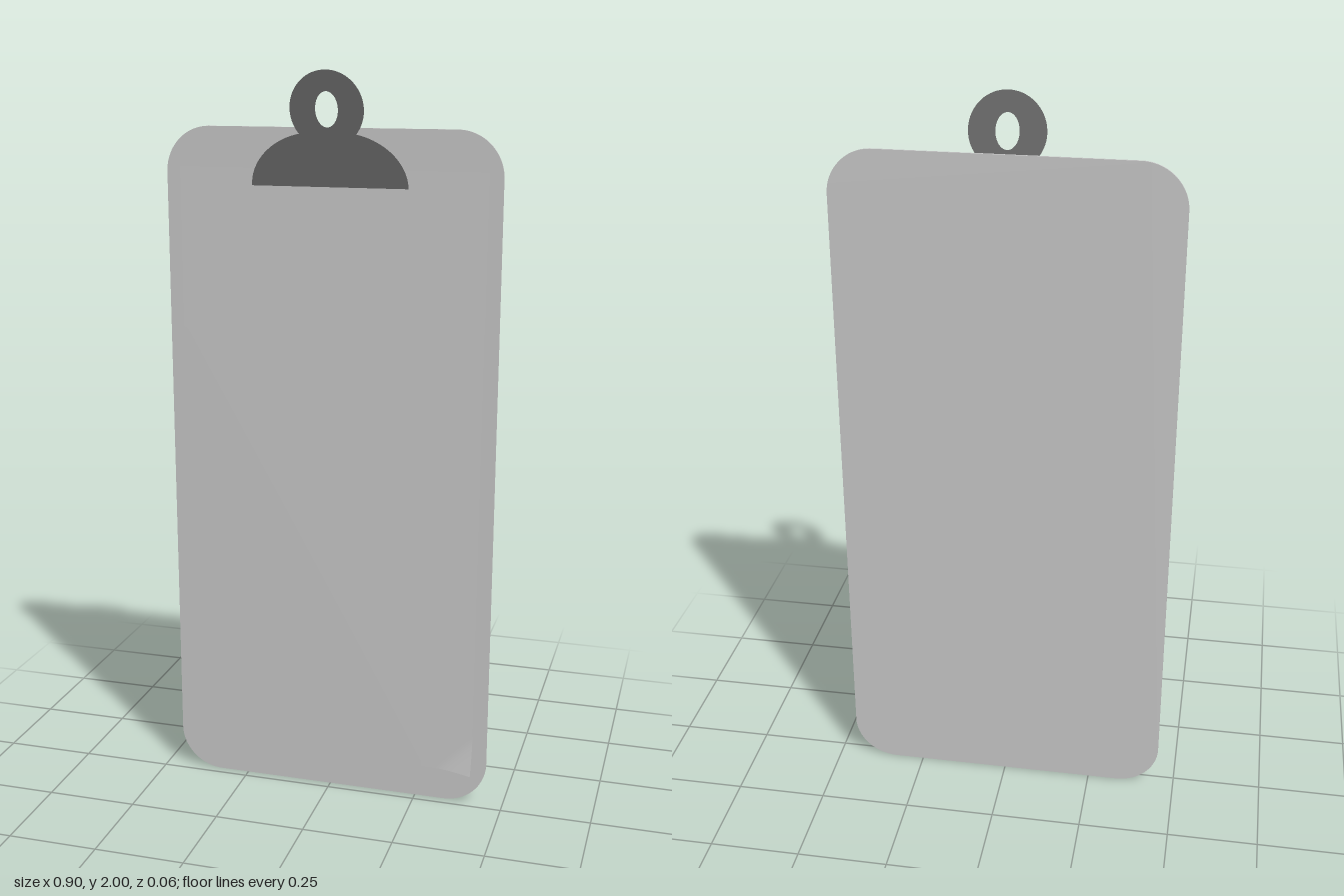
import * as THREE from 'three';

const grey = () => new THREE.MeshStandardMaterial({ color: 0xcccccc, side: THREE.DoubleSide });

// Thin board with rounded corners
function makeBoard() {
  const w = 0.452, h = 1.855, r = 0.12;
  const s = new THREE.Shape();
  s.moveTo(-w + r, 0);
  s.absarc(w - r, r, r, -Math.PI / 2, 0);
  s.absarc(w - r, h - r, r, 0, Math.PI / 2);
  s.absarc(-w + r, h - r, r, Math.PI / 2, Math.PI);
  s.absarc(-w + r, r, r, Math.PI, Math.PI * 1.5);
  const geo = new THREE.ExtrudeGeometry(s, { depth: 0.005, bevelEnabled: false, curveSegments: 16 });
  geo.translate(0, 0, -0.03);
  const mesh = new THREE.Mesh(geo, grey());
  mesh.name = 'board';
  return mesh;
}

// Paper sheet that lifts gently towards the bottom, with one curled corner
function makePaper() {
  const w = 0.415, bottom = 0.1, top = 1.75;
  const geo = new THREE.PlaneGeometry(2 * w, top - bottom, 50, 100);
  geo.translate(0, (top + bottom) / 2, 0);
  const p = geo.attributes.position;
  for (let i = 0; i < p.count; i++) {
    const x = p.getX(i), y = p.getY(i);
    const down = (top - y) / (top - bottom);
    const across = (x + w) / (2 * w);
    const curl = Math.max(0, 1 - (w - x) / 0.1 - (y - bottom) / 0.1);
    p.setZ(i, -0.023 + down * (0.01 + 0.007 * across) + 0.026 * Math.pow(curl, 1.5));
  }
  geo.computeVertexNormals();
  const mesh = new THREE.Mesh(geo, grey());
  mesh.name = 'paper';
  return mesh;
}

// Flat sheet clip: wide jaw below a hanging ring, leaning forward
function makeClip() {
  const cy = 1.902, r = 0.098, base = 1.705, a = Math.atan2(-0.062, 0.076);
  const nx = r * Math.cos(a), ny = cy + r * Math.sin(a);
  const s = new THREE.Shape();
  s.moveTo(-0.21, base);
  s.lineTo(0.21, base);
  s.bezierCurveTo(0.21, 1.77, 0.15, 1.825, nx, ny);
  s.absarc(0, cy, r, a, Math.PI - a);
  s.bezierCurveTo(-0.15, 1.825, -0.21, 1.77, -0.21, base);
  const hole = new THREE.Path();
  hole.absellipse(0, cy, 0.03, 0.045, 0, Math.PI * 2, true);
  s.holes.push(hole);
  const geo = new THREE.ShapeGeometry(s, 24);
  const p = geo.attributes.position;
  for (let i = 0; i < p.count; i++) p.setZ(i, 0.026 - (2 - p.getY(i)) * 0.133);
  geo.computeVertexNormals();
  const mat = grey();
  mat.color.set(0x6e6e6e);
  const mesh = new THREE.Mesh(geo, mat);
  mesh.name = 'clip';
  return mesh;
}

export function createModel() {
  const group = new THREE.Group();
  group.name = 'clipboard';
  group.add(makeBoard(), makePaper(), makeClip());
  return group;
}
